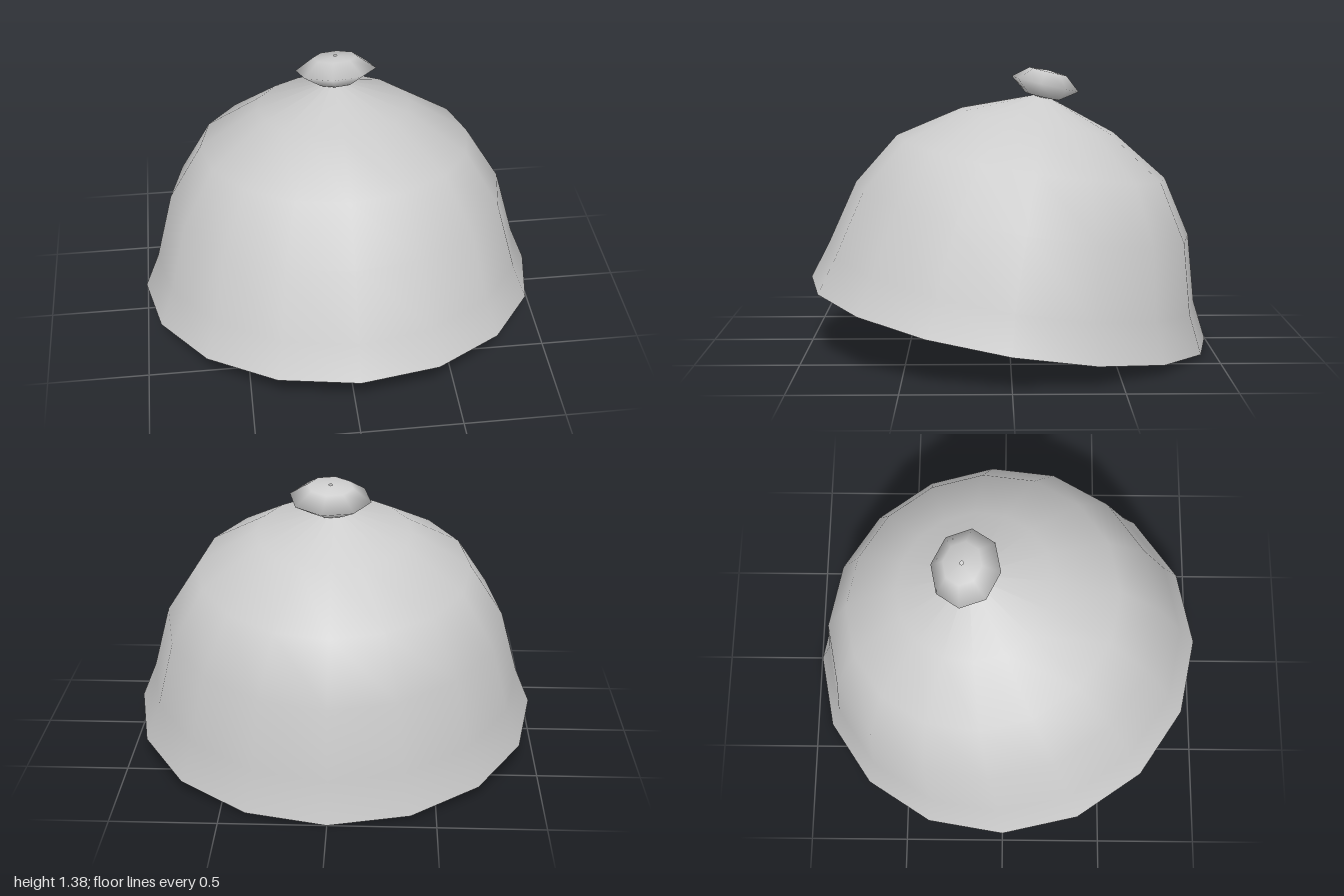
import * as THREE from 'three';

const material = new THREE.MeshStandardMaterial({ color: 0xcccccc, side: THREE.DoubleSide });

// Turn a list of [radius, height] pairs into a smooth lathe geometry.
function turn(profile, sides) {
  return new THREE.LatheGeometry(profile.map(([r, y]) => new THREE.Vector2(r, y)), sides);
}

// One skin of the bell: a 16-sided turned profile, slightly narrower in x.
function makeSkin(name, profile) {
  const geometry = turn(profile, 16);
  geometry.scale(0.983, 1, 1);
  // everything above the rim sits a touch further forward
  const pos = geometry.attributes.position;
  for (let i = 0; i < pos.count; i++) {
    if (pos.getY(i) > 0.01) pos.setZ(i, pos.getZ(i) + 0.015);
  }
  const mesh = new THREE.Mesh(geometry, material);
  mesh.name = name;
  return mesh;
}

export function createModel() {
  const model = new THREE.Group();
  model.name = 'domedCap';

  // Dome, leaning back so the front of the rim is raised
  const dome = new THREE.Group();
  dome.name = 'dome';
  dome.position.y = 0.164;
  dome.rotation.x = -Math.atan(0.164);
  dome.add(
    makeSkin('outerShell', [
      [1.013, 0], [0.938, 0.18], [0.848, 0.514], [0.68, 0.781], [0.384, 0.967], [0, 1.1],
    ]),
    makeSkin('innerShell', [
      [0, 1.043], [0.364, 0.917], [0.645, 0.741], [0.806, 0.488], [0.893, 0.173], [1.013, 0],
    ]),
  );
  model.add(dome);

  // Flat-topped, sharp-edged eight-sided button with a pinhole, on the crown
  const buttonShape = turn([
    [0.05, -0.07], [0.5, -0.063], [1, 0], [0.55, 0.063], [0.05, 0.07],
  ], 8);
  buttonShape.rotateY(-0.17);
  buttonShape.scale(0.198, 1, 0.172);
  const button = new THREE.Mesh(buttonShape, material);
  button.name = 'topButton';
  button.position.set(0.015, 1.3, -0.178);
  button.rotation.set(-0.23, 0, 0.025);
  model.add(button);

  return model;
}
